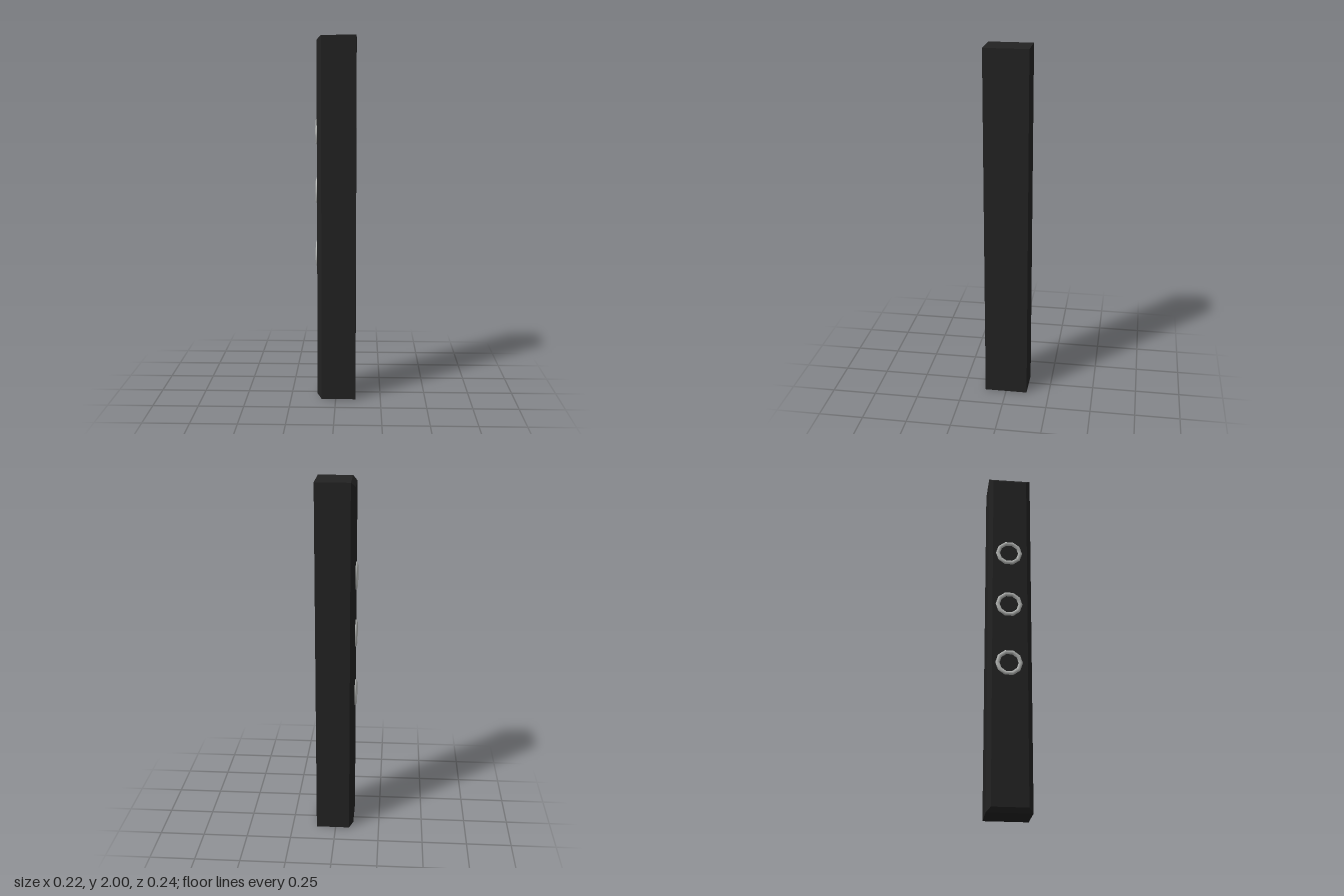
import * as THREE from 'three';

export function createModel() {
  const model = new THREE.Group();
  const black = new THREE.MeshStandardMaterial({ color: 0x222222 });
  black.name = 'black casing';
  const silver = new THREE.MeshStandardMaterial({ color: 0xb8bab8 });
  silver.name = 'silver trim';

  // Tall casing: a box whose -x face is inset to give a chamfer on four edges
  const xBack = 0.11, xChamfer = -0.078, xFace = -0.102, inset = 0.024;
  const box = new THREE.BoxGeometry(2, 2, 0.242, 2, 1, 1);
  const p = box.attributes.position;
  for (let i = 0; i < p.count; i++) {
    const x = p.getX(i), y = p.getY(i), z = p.getZ(i);
    if (x > 0.5) p.setX(i, xBack);
    else if (x > -0.5) p.setX(i, xChamfer);
    else p.setXYZ(i, xFace, y - Math.sign(y) * inset, z - Math.sign(z) * inset);
  }
  const casingGeometry = box.toNonIndexed();
  casingGeometry.computeVertexNormals();
  const casing = new THREE.Mesh(casingGeometry, black);
  casing.name = 'casing';
  casing.position.y = 1;
  model.add(casing);

  // Three metal rings half sunk into the chamfered face
  const ringGeometry = new THREE.TorusGeometry(0.063, 0.0125, 8, 10);
  ringGeometry.rotateY(-Math.PI / 2);
  [0.81, 1.162, 1.487].forEach((y, i) => {
    const ring = new THREE.Mesh(ringGeometry, silver);
    ring.name = `ring${i + 1}`;
    ring.position.set(-0.1, y, -0.005);
    model.add(ring);
  });

  return model;
}
